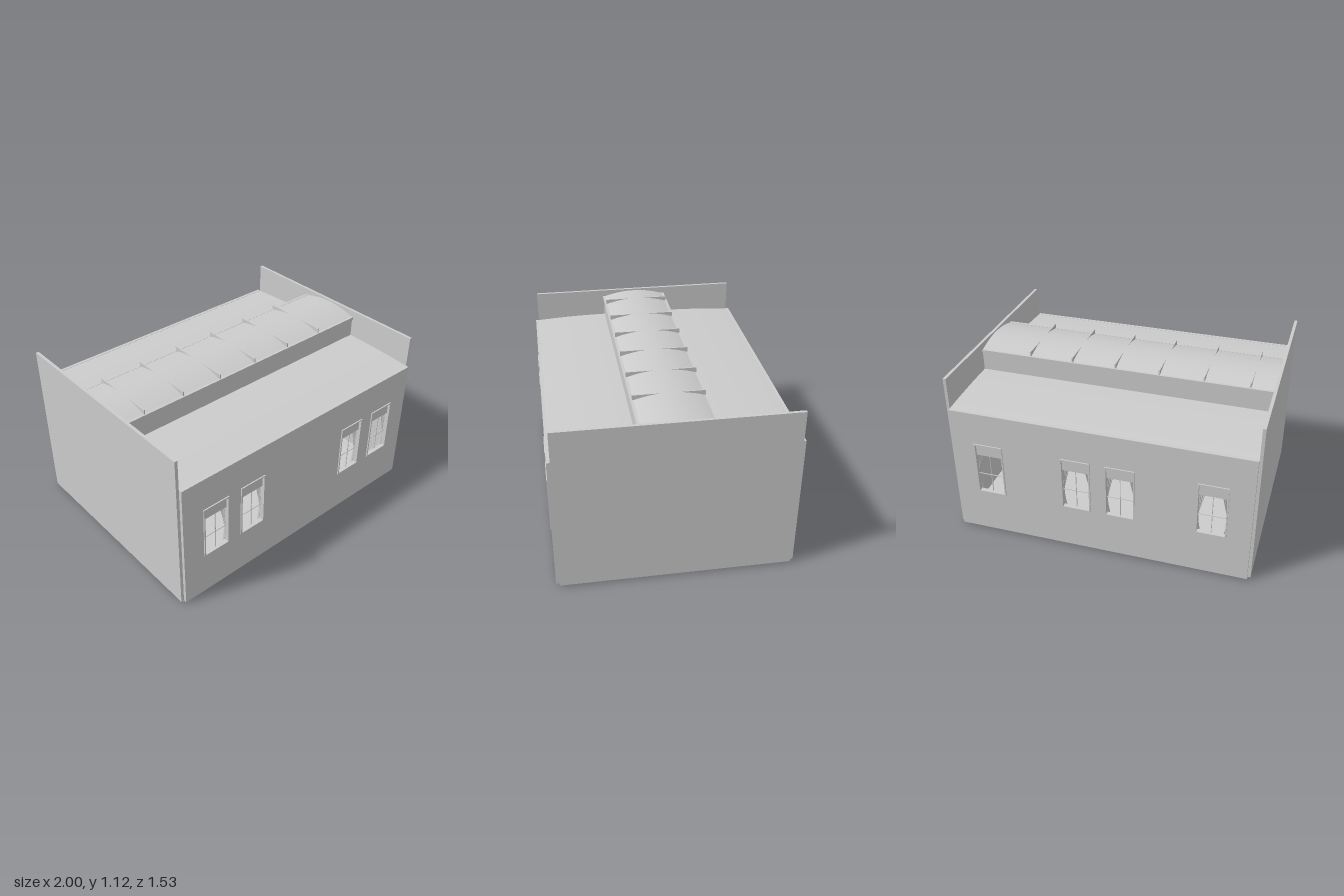
import * as THREE from 'three';

const mat = new THREE.MeshStandardMaterial({ color: 0xcccccc });
const thin = new THREE.MeshStandardMaterial({ color: 0xcccccc, side: THREE.DoubleSide });

function add(parent, name, geometry, material = mat) {
  const mesh = new THREE.Mesh(geometry, material);
  mesh.name = name;
  parent.add(mesh);
  return mesh;
}

// Box given by its limits on each axis
function box(parent, name, x0, x1, y0, y1, z0, z1) {
  const mesh = add(parent, name, new THREE.BoxGeometry(x1 - x0, y1 - y0, z1 - z0));
  mesh.position.set((x0 + x1) / 2, (y0 + y1) / 2, (z0 + z1) / 2);
  return mesh;
}

function rect(Type, x0, x1, y0, y1) {
  const p = new Type();
  p.moveTo(x0, y0);
  p.lineTo(x1, y0);
  p.lineTo(x1, y1);
  p.lineTo(x0, y1);
  p.closePath();
  return p;
}

// Window measurements
const W = 0.195, SILL = 0.315, HEAD = 0.69, SHADE = 0.6;
const HALF = 0.98;

// Smooth roof sheet: height f(z) between z0 and z1 along the whole length
function roofSheet(parent, name, z0, z1, f) {
  const geo = new THREE.PlaneGeometry(2 * HALF, z1 - z0, 1, 24);
  geo.rotateX(-Math.PI / 2);
  geo.translate(0, 0, (z0 + z1) / 2);
  const p = geo.attributes.position;
  for (let i = 0; i < p.count; i++) p.setY(i, f(p.getZ(i)));
  geo.computeVertexNormals();
  return add(parent, name, geo, thin);
}

// Pleated curtain that is drawn in at the middle; side is -1 or 1
function curtain(parent, side) {
  const edge = new THREE.SplineCurve([
    new THREE.Vector2(0.022, SILL), new THREE.Vector2(0.009, 0.4),
    new THREE.Vector2(0.013, 0.46), new THREE.Vector2(0.048, SHADE + 0.01),
  ]);
  const geo = new THREE.PlaneGeometry(1, 1, 20, 14);
  const p = geo.attributes.position;
  for (let i = 0; i < p.count; i++) {
    const u = p.getX(i) + 0.5;
    const e = edge.getPoint(p.getY(i) + 0.5);
    p.setXYZ(i, side * (W / 2 - u * e.x), e.y, 0.724 + 0.006 * Math.sin(u * Math.PI * 7));
  }
  geo.computeVertexNormals();
  add(parent, 'curtain', geo, thin);
}

function windowUnit(x) {
  const g = new THREE.Group();
  g.name = 'window';
  g.position.x = x;
  const h = W / 2, b = 0.009;
  // Raised frame around the opening
  const shape = rect(THREE.Shape, -h, h, SILL, HEAD);
  shape.holes.push(rect(THREE.Path, -h + b, h - b, SILL + b, HEAD - b));
  const frame = new THREE.ExtrudeGeometry(shape, { depth: 0.03, bevelEnabled: false });
  frame.translate(0, 0, 0.735);
  add(g, 'windowFrame', frame);
  // Blind and glazing bars
  box(g, 'blind', -h + b, h - b, SHADE, HEAD - b, 0.742, 0.748);
  box(g, 'verticalBar', -0.002, 0.002, SILL + b, SHADE, 0.743, 0.748);
  box(g, 'horizontalBar', -h + b, h - b, 0.453, 0.457, 0.743, 0.748);
  curtain(g, -1);
  curtain(g, 1);
  return g;
}

// Long side wall with windows, built facing +z
function sideWall(name, centres) {
  const g = new THREE.Group();
  g.name = name;
  const shape = rect(THREE.Shape, -HALF, HALF, 0.012, 0.915);
  for (const x of centres) {
    shape.holes.push(rect(THREE.Path, x - W / 2, x + W / 2, SILL, HEAD));
    g.add(windowUnit(x));
  }
  const wall = new THREE.ExtrudeGeometry(shape, { depth: 0.022, bevelEnabled: false });
  wall.translate(0, 0, 0.735);
  add(g, 'wallPanel', wall);
  return g;
}

export function createModel() {
  const model = new THREE.Group();
  model.name = 'carriageSection';

  box(model, 'floor', -HALF, HALF, 0, 0.018, -0.735, 0.735);
  for (const s of [-1, 1]) {
    box(model, 'endWall', s * 0.99 - 0.01, s * 0.99 + 0.01, 0.012, 1.125, -0.735, 0.735);
  }

  model.add(sideWall('frontWall', [-0.732, -0.442, 0.438, 0.732]));
  const back = sideWall('backWall', [-0.732, -0.145, 0.147, 0.732]);
  back.rotation.y = Math.PI;
  model.add(back);

  // Shallow lower roofs and the raised walls between them
  for (const s of [-1, 1]) {
    const lower = (z) => {
      const t = (0.74 - Math.abs(z)) / 0.52;
      return 0.913 + 0.02 * (1 - (1 - t) ** 2);
    };
    roofSheet(model, 'lowerRoof', s > 0 ? 0.22 : -0.74, s > 0 ? 0.74 : -0.22, lower);
    box(model, 'raisedWall', -HALF, HALF, 0.915, 1.065, s * 0.22 - 0.006, s * 0.22 + 0.006);
    box(model, 'raisedEave', -HALF, HALF, 1.06, 1.08, s * 0.226 - 0.009, s * 0.226 + 0.009);
  }

  // Arched upper roof with flat-topped ribs
  roofSheet(model, 'upperRoof', -0.225, 0.225, (z) => 1.113 - 0.037 * (z / 0.225) ** 2);
  for (const x of [-0.83, -0.538, -0.247, 0.046, 0.34, 0.633]) {
    box(model, 'roofRib', x - 0.004, x + 0.004, 1.07, 1.111, -0.225, 0.225);
  }

  return model;
}
